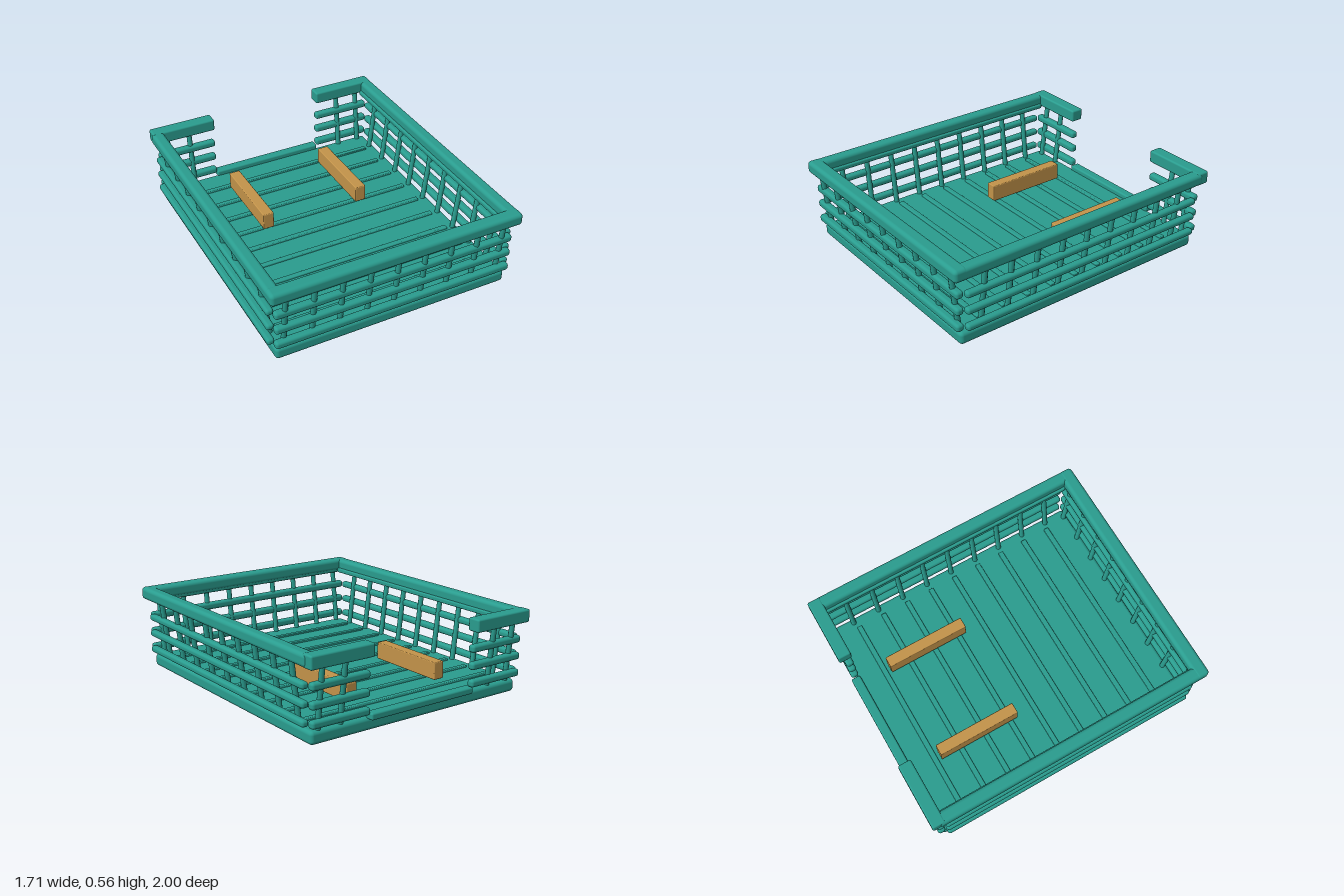
import * as THREE from 'three';
import { RoundedBoxGeometry } from 'three/addons/geometries/RoundedBoxGeometry.js';

const teal = new THREE.MeshStandardMaterial({ color: 0x2a9d8f });
const wood = new THREE.MeshStandardMaterial({ color: 0xc4944a });

export function createModel() {
  const model = new THREE.Group();

  // Rounded box given by its minimum and maximum on each axis
  function block(name, [x0, x1], [y0, y1], [z0, z1], radius, material = teal) {
    const geometry = new RoundedBoxGeometry(x1 - x0, y1 - y0, z1 - z0, 3, radius);
    const mesh = new THREE.Mesh(geometry, material);
    mesh.name = name;
    mesh.position.set((x0 + x1) / 2, (y0 + y1) / 2, (z0 + z1) / 2);
    model.add(mesh);
  }

  // Round bar between two points
  function post(name, from, to) {
    const a = new THREE.Vector3(...from);
    const b = new THREE.Vector3(...to);
    const mesh = new THREE.Mesh(new THREE.CylinderGeometry(0.018, 0.018, a.distanceTo(b), 10), teal);
    mesh.name = name;
    mesh.position.copy(a).lerp(b, 0.5);
    mesh.quaternion.setFromUnitVectors(new THREE.Vector3(0, 1, 0), b.sub(a).normalize());
    model.add(mesh);
  }

  // Floor tray with cross slats
  block('base', [-0.805, 0.805], [0, 0.085], [-0.935, 0.935], 0.025);
  for (let i = -4; i <= 4; i++) {
    const z = i * 0.187;
    block('floorSlat', [-0.725, 0.725], [0.07, 0.098], [z - 0.018, z + 0.018], 0.006);
  }

  // Upper rim, open in the middle of the back
  block('frontRim', [-0.855, 0.855], [0.47, 0.555], [0.905, 1], 0.025);
  block('frontRimLip', [-0.79, 0.79], [0.457, 0.49], [0.91, 0.96], 0.01);
  for (const s of [-1, 1]) {
    const span = (a, b) => (s > 0 ? [a, b] : [-b, -a]);
    block('sideRim', span(0.77, 0.855), [0.47, 0.553], [-0.95, 0.99], 0.025);
    block('sideRimLip', span(0.755, 0.81), [0.457, 0.49], [-0.91, 0.91], 0.01);
    block('backRim', span(0.4, 0.848), [0.47, 0.555], [-1, -0.91], 0.012);
  }

  // Horizontal rails
  for (const y of [0.132, 0.245, 0.357]) {
    const height = [y - 0.025, y + 0.025];
    block('frontRail', [-0.815, 0.815], height, [0.913, 0.965], 0.018);
    for (const s of [-1, 1]) {
      const span = (a, b) => (s > 0 ? [a, b] : [-b, -a]);
      block('sideRail', span(0.797, 0.847), [y - 0.022, y + 0.022], [-0.91, 0.91], 0.018);
      block('backRail', span(0.4, 0.815), height, [-0.965, -0.913], 0.018);
    }
  }

  // Posts leaning outwards
  for (let i = -4; i <= 4; i++) {
    const x = i * 0.186;
    const z = i * 0.192;
    post('frontPost', [x, 0.07, 0.905], [x, 0.49, 0.957]);
    for (const s of [-1, 1]) post('sidePost', [s * 0.768, 0.07, z], [s * 0.822, 0.49, z]);
  }
  for (const x of [-0.74, -0.58, 0.58, 0.74]) post('backPost', [x, 0.07, -0.905], [x, 0.49, -0.957]);

  // Low sill across the back opening
  block('backSill', [-0.4, 0.4], [0.075, 0.12], [-0.975, -0.91], 0.012);

  // Wooden runners above the floor
  for (const x of [-0.352, 0.346]) {
    block('runner', [x - 0.038, x + 0.038], [0.11, 0.225], [-0.71, -0.135], 0.006, wood);
  }
  return model;
}
